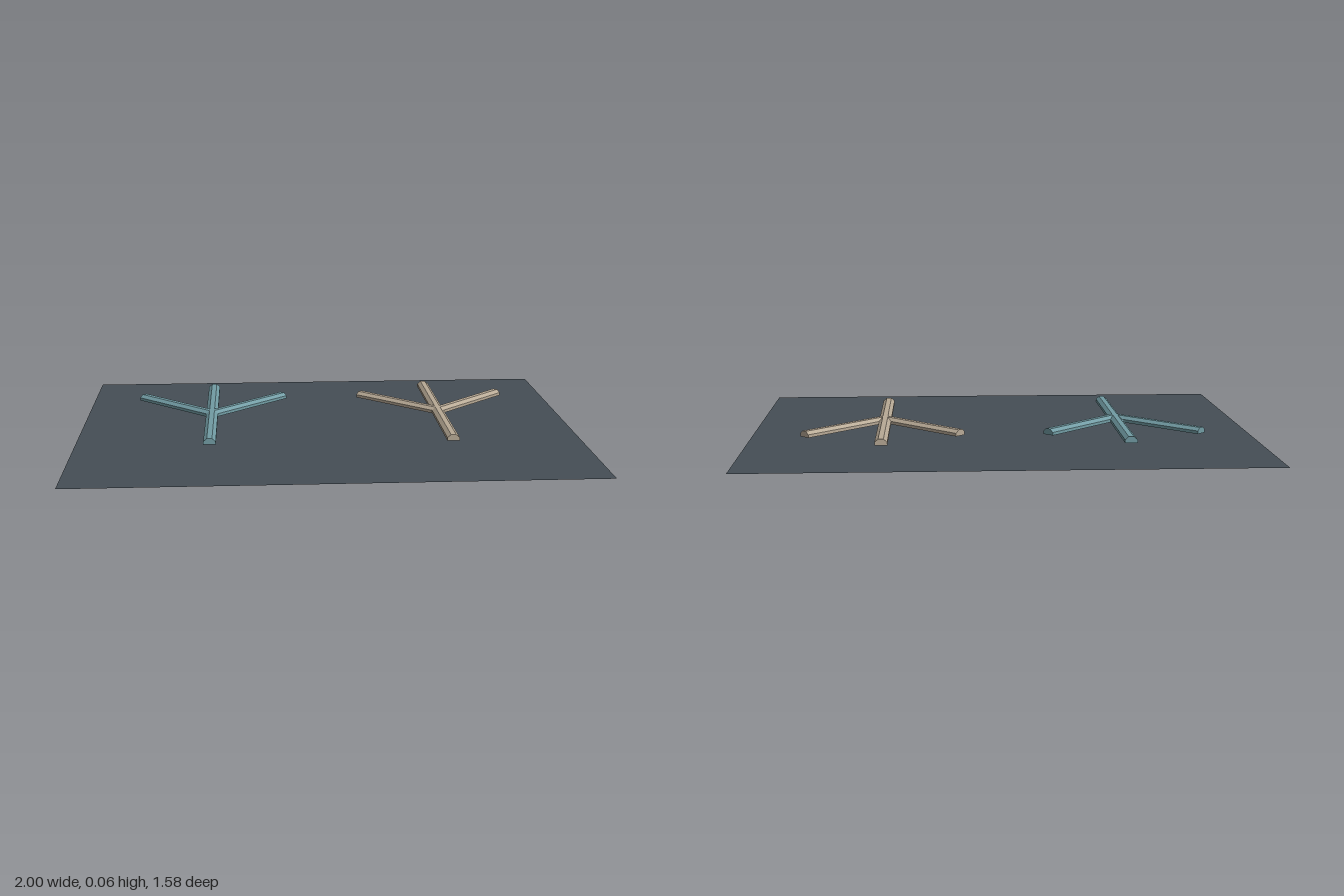
import * as THREE from 'three';

const material = (name, color, side = THREE.FrontSide) => {
  const m = new THREE.MeshStandardMaterial({ color, side });
  m.name = name;
  return m;
};

// Bevelled bar section: vertical sides, sloping shoulders, narrow flat top
const section = new THREE.Shape([
  [-0.024, 0.038], [0.024, 0.038], [0.024, 0.05],
  [0.01, 0.062], [-0.01, 0.062], [-0.024, 0.05],
].map(([x, y]) => new THREE.Vector2(x, y)));

// Bar running along the ground from (x0, z0) to (x1, z1)
function bar(name, mat, x0, z0, x1, z1) {
  const depth = Math.hypot(x1 - x0, z1 - z0);
  const mesh = new THREE.Mesh(
    new THREE.ExtrudeGeometry(section, { depth, bevelEnabled: false }), mat);
  mesh.name = name;
  mesh.position.set(x0, 0, z0);
  mesh.rotation.y = Math.atan2(x1 - x0, z1 - z0);
  return mesh;
}

// Straight bar with two arms branching at 45 degrees
function junction(name, mat, x) {
  const group = new THREE.Group();
  group.name = name;
  group.position.x = x;
  group.add(bar('straightBar', mat, 0, -0.51, 0, 0.39));
  for (const [side, s] of [['left', 1], ['right', -1]]) {
    group.add(bar(side + 'Arm', mat, 0, -0.04, s * 0.3, -0.34));
  }
  return group;
}

export function createModel() {
  const model = new THREE.Group();
  model.name = 'branchingBars';

  // Flat base sheet
  const base = new THREE.Mesh(
    new THREE.PlaneGeometry(2, 1.58).rotateX(-Math.PI / 2),
    material('slate', 0x454e56, THREE.DoubleSide));
  base.name = 'baseSheet';
  model.add(base);

  // Two matching junctions
  model.add(junction('rightJunction', material('teal', 0x729ca4), -0.47));
  model.add(junction('leftJunction', material('sand', 0xb8aa96), 0.47));
  return model;
}
